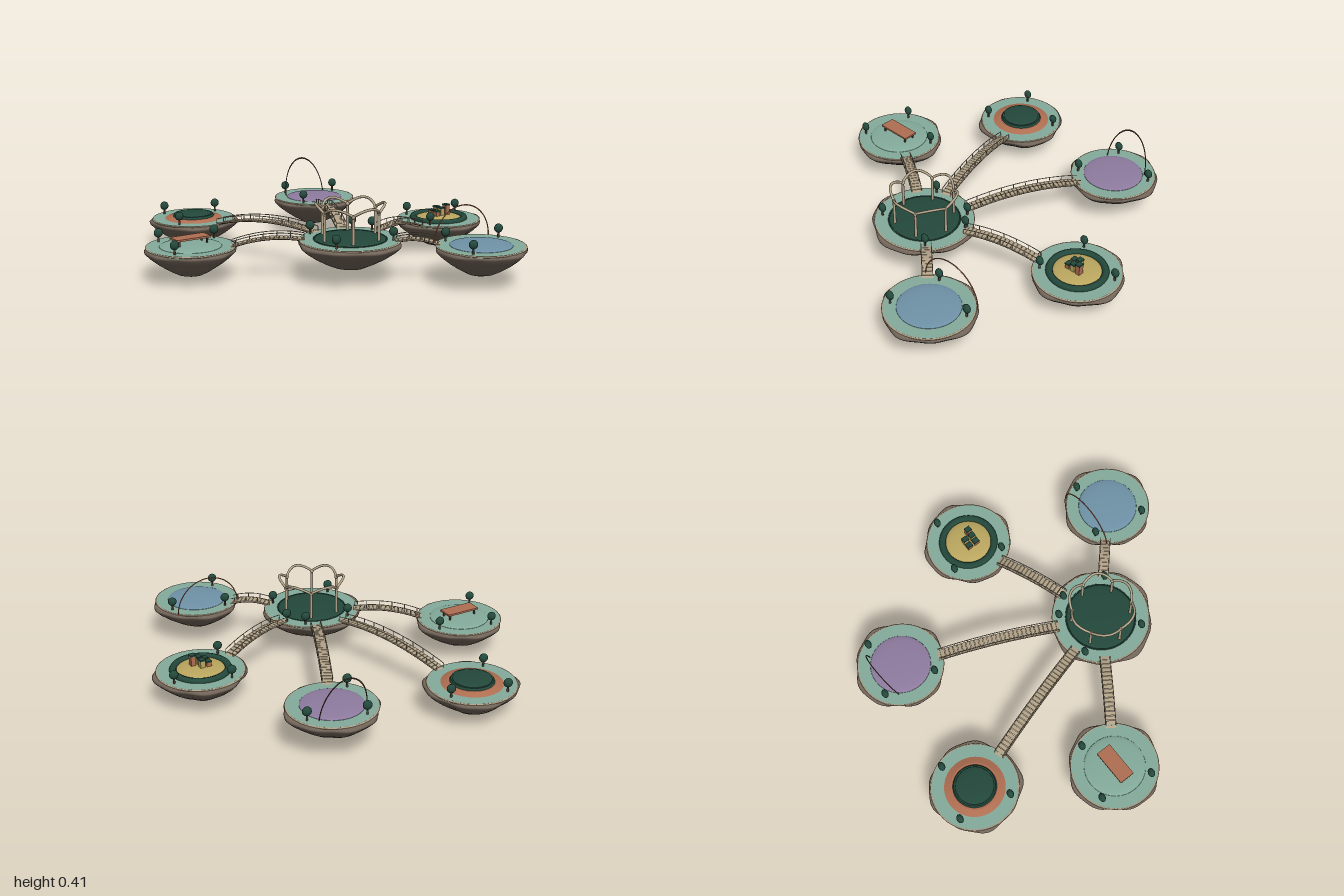
import * as THREE from 'three';
import { mergeVertices } from 'three/addons/utils/BufferGeometryUtils.js';

const mat = (name, color, side = THREE.FrontSide) => {
  const m = new THREE.MeshStandardMaterial({ color, side });
  m.name = name;
  return m;
};
const V = (x, y, z) => new THREE.Vector3(x, y, z);

export function createModel() {
  const rockMat = mat('rock', 0x786a5e), mint = mat('mint', 0x84ac9c), tan = mat('tan', 0xb3a388);
  const green = mat('darkGreen', 0x24493c), clay = mat('terracotta', 0xb06f52);
  const purple = mat('purple', 0x8f7ca0), blue = mat('blue', 0x7093a8), gold = mat('gold', 0xbca860);
  const brown = mat('brown', 0x5a4638);

  const root = new THREE.Group();
  root.name = 'floatingIslands';
  const add = (parent, name, geo, m, x = 0, y = 0, z = 0) => {
    const mesh = new THREE.Mesh(geo, m);
    mesh.name = name;
    mesh.position.set(x, y, z);
    parent.add(mesh);
    return mesh;
  };
  const flatRing = (r, t) => new THREE.TorusGeometry(r, t, 8, 48).rotateX(Math.PI / 2);
  // shallow cap: upper half of a flattened sphere
  const cap = (r, h) => new THREE.SphereGeometry(r, 40, 12, 0, Math.PI * 2, 0, Math.PI / 2).scale(1, h / r, 1);

  // lobed rock bowl hanging under each deck
  function rockGeometry(s, turn) {
    const profile = [[0, -.157], [.03, -.154], [.07, -.142], [.12, -.115], [.17, -.082], [.212, -.048],
      [.235, -.024], [.238, -.012], [.23, -.003], [0, -.003]].map(([r, y]) => new THREE.Vector2(r, y));
    let g = new THREE.LatheGeometry(profile, 72);
    const p = g.attributes.position;
    for (let i = 0; i < p.count; i++) {
      const x = p.getX(i), z = p.getZ(i), a = Math.atan2(z, x) - turn;
      const k = s * (1 + .035 * Math.cos(4 * a + .4) + .018 * Math.cos(9 * a) + .02 * Math.cos(a + .8));
      p.setXYZ(i, x * k, p.getY(i), z * k);
    }
    g.deleteAttribute('uv');
    g.deleteAttribute('normal');
    g = mergeVertices(g, 1e-5);
    g.computeVertexNormals();
    return g;
  }

  function bush(parent, x, z) {
    const b = new THREE.Group();
    b.name = 'bush';
    b.position.set(x, 0, z);
    b.rotation.y = -.2;
    parent.add(b);
    add(b, 'trunk', new THREE.CylinderGeometry(.005, .006, .035, 8), brown, 0, .017, 0);
    add(b, 'foliage', new THREE.SphereGeometry(1, 14, 10).scale(.024, .024, .018), green, 0, .05, 0);
  }

  // rock, deck and rope rim shared by all islands
  function island(name, x, y, z, s, turn, bushes) {
    const g = new THREE.Group();
    g.name = name;
    g.position.set(x, y, z);
    root.add(g);
    add(g, 'rock', rockGeometry(s, turn), rockMat);
    add(g, 'deck', new THREE.CylinderGeometry(.226 * s, .226 * s, .012, 56), mint, 0, -.004, 0);
    add(g, 'rim', flatRing(.226 * s, .005), tan, 0, -.002, 0);
    bushes.forEach(([bx, bz]) => bush(g, bx, bz));
    return g;
  }
  const three = [[-.097, -.165], [.18, -.075], [-.152, .115]];

  // hub with domed lawn and arched pavilion
  const hub = island('hubIsland', -.066, .23, .318, 1.14, 3.1,
    [[-.113, -.2], [.137, -.178], [.206, -.093], [-.178, .132], [.16, .153]]);
  add(hub, 'lawn', cap(.185, .014), green, 0, .002, 0);
  add(hub, 'lawnEdge', flatRing(.186, .004), green, 0, .003, 0);
  for (let i = 0; i < 6; i++) {
    const at = (k, r, y) => V(r * Math.cos(k * Math.PI / 3), y, r * Math.sin(k * Math.PI / 3));
    const foot = at(i, .158, .075);
    add(hub, 'pavilionPost', new THREE.CylinderGeometry(.007, .008, .15, 10), tan, foot.x, foot.y, foot.z);
    add(hub, 'postCap', new THREE.SphereGeometry(.011, 10, 8), tan, foot.x, .15, foot.z);
    const arch = new THREE.QuadraticBezierCurve3(at(i, .158, .152), at(i + .5, .215, .22), at(i + 1, .158, .152));
    add(hub, 'pavilionArch', new THREE.TubeGeometry(arch, 16, .007, 8), tan);
  }

  // terraced island
  const terrace = island('terraceIsland', -.378, .175, -.767, 1, 2.1, three);
  add(terrace, 'lowerTier', new THREE.CylinderGeometry(.125, .162, .012, 48), clay, 0, .007, 0);
  add(terrace, 'upperTier', new THREE.CylinderGeometry(.108, .115, .014, 48), green, 0, .018, 0);
  add(terrace, 'upperTop', cap(.1, .012), green, 0, .025, 0);

  // island with a leaning portal
  const portal = island('portalIsland', .383, .22, -.68, 1, 0, three);
  add(portal, 'purplePool', cap(.16, .014), purple, 0, .002, 0);
  const hoop = add(portal, 'leaningHoop', new THREE.TorusGeometry(.13, .0028, 6, 40, Math.PI).scale(1, 1.62, 1),
    brown, .002, 0, -.105);
  hoop.rotation.x = -.2;

  // island with a long table
  const tableIsle = island('tableIsland', -.742, .195, -.135, 1, 0, three);
  add(tableIsle, 'mound', cap(.16, .014), mint, 0, .002, 0);
  add(tableIsle, 'tableTop', new THREE.BoxGeometry(.195, .01, .083), clay, 0, .046, 0);
  for (const sx of [-1, 1]) for (const sz of [-1, 1])
    add(tableIsle, 'tableLeg', new THREE.BoxGeometry(.008, .04, .008), brown, sx * .08, .023, sz * .03);

  // island with a tiny village
  const village = island('villageIsland', .742, .18, .037, 1, .2, three);
  add(village, 'hedge', flatRing(.142, .019).scale(1, .9, 1), green, 0, .006, 0);
  add(village, 'goldField', cap(.126, .02), gold, 0, .004, 0);
  [[-.035, -.018, .03], [0, -.018, .045], [-.035, .026, .03], [-.002, .026, .045], [.032, .026, .06]]
    .forEach(([x, z, h], i) => {
      add(village, 'hut', new THREE.BoxGeometry(.026, h, .03), i % 2 ? gold : clay, x, .015 + h / 2, z);
      add(village, 'hutRoof', new THREE.BoxGeometry(.029, .008, .033), green, x, .018 + h, z);
    });

  // island with a blue pool and upright hoop
  const pool = island('poolIsland', .425, .22, .765, 1, 0, three);
  add(pool, 'bluePool', cap(.16, .014), blue, 0, .002, 0);
  add(pool, 'uprightHoop', new THREE.TorusGeometry(.18, .0032, 6, 48, Math.PI), clay, 0, 0, -.152);

  // arched plank bridges from hub to each outer island
  function bridge(target) {
    const g = new THREE.Group();
    g.name = 'bridge';
    root.add(g);
    const a = hub.position, b = target.position;
    const dir = V(b.x - a.x, 0, b.z - a.z).normalize(), side = V(-dir.z, 0, dir.x);
    const p0 = a.clone().addScaledVector(dir, .235), p1 = b.clone().addScaledVector(dir, -.208);
    const len = p0.distanceTo(p1);
    const mid = p0.clone().add(p1).multiplyScalar(.5);
    mid.y += .02 + len * .08;
    const path = new THREE.QuadraticBezierCurve3(p0, mid, p1);
    const n = Math.round(len / .023);
    for (let i = 0; i <= n; i++) {
      const p = path.getPoint(i / n);
      const plank = add(g, 'plank', new THREE.BoxGeometry(.056, .007, .0205), tan, p.x, p.y, p.z);
      plank.lookAt(p.clone().add(path.getTangent(i / n)));
    }
    for (const s of [-1, 1]) {
      const shifted = (up) => new THREE.QuadraticBezierCurve3(
        ...[p0, mid, p1].map(p => p.clone().addScaledVector(side, s * .026).add(V(0, up, 0))));
      add(g, 'stringer', new THREE.TubeGeometry(shifted(-.004), 20, .003, 6), brown);
      const rail = shifted(.028);
      add(g, 'handRope', new THREE.TubeGeometry(rail, 20, .0022, 6), tan);
      for (let i = 0; i <= n; i += 3) {
        const p = rail.getPoint(i / n);
        add(g, 'railPost', new THREE.CylinderGeometry(.002, .002, .028, 6), tan, p.x, p.y - .014, p.z);
      }
    }
  }
  [terrace, portal, tableIsle, village, pool].forEach(bridge);
  return root;
}
